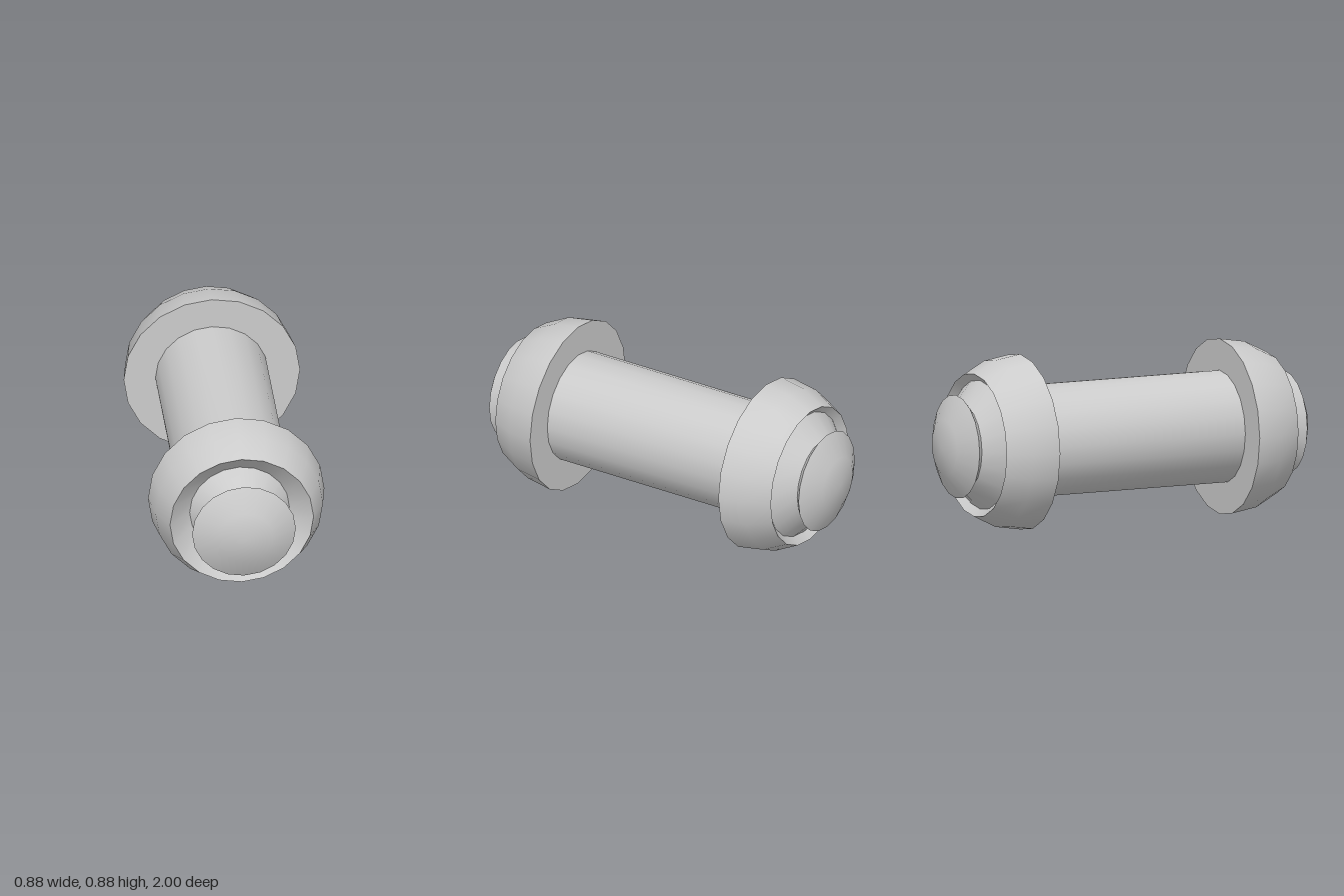
import * as THREE from 'three';
import { toCreasedNormals } from 'three/addons/utils/BufferGeometryUtils.js';

const SIDES = 20;
const AXIS_Y = 0.445; // height of the long axis

export function createModel() {
  const group = new THREE.Group();
  const material = new THREE.MeshStandardMaterial({ color: 0xcccccc });

  // Turns a [radius, distance] profile around the z axis, towards +z (dir 1) or -z (dir -1)
  function addTurned(name, profile, dir) {
    const points = profile.map(([r, d]) => new THREE.Vector2(r, d));
    const lathe = new THREE.LatheGeometry(points, SIDES).rotateX(dir * Math.PI / 2);
    const mesh = new THREE.Mesh(toCreasedNormals(lathe, 0.7), material);
    mesh.name = name;
    mesh.position.y = AXIS_Y;
    group.add(mesh);
  }

  // Straight shaft between the two collars
  addTurned('shaft', [[0.283, -0.56], [0.283, 0.56]], 1);

  // Rounded collar with a flat inner face and a conical recess in its outer end
  const collar = [[0.27, 0.557], [0.442, 0.557], [0.42, 0.695], [0.36, 0.815], [0.25, 0.71]];
  // Shallow dome shared by both end caps
  const dome = [[0.26, 0.915], [0.14, 0.98], [0, 1]];

  addTurned('frontCollar', collar, 1);
  addTurned('backCollar', collar, -1);

  // Front cap on a deep waisted neck, back cap on a shallow one
  addTurned('frontCap', [[0.25, 0.71], [0.155, 0.808], ...dome], 1);
  addTurned('backCap', [[0.325, 0.78], [0.222, 0.883], ...dome], -1);

  return group;
}
